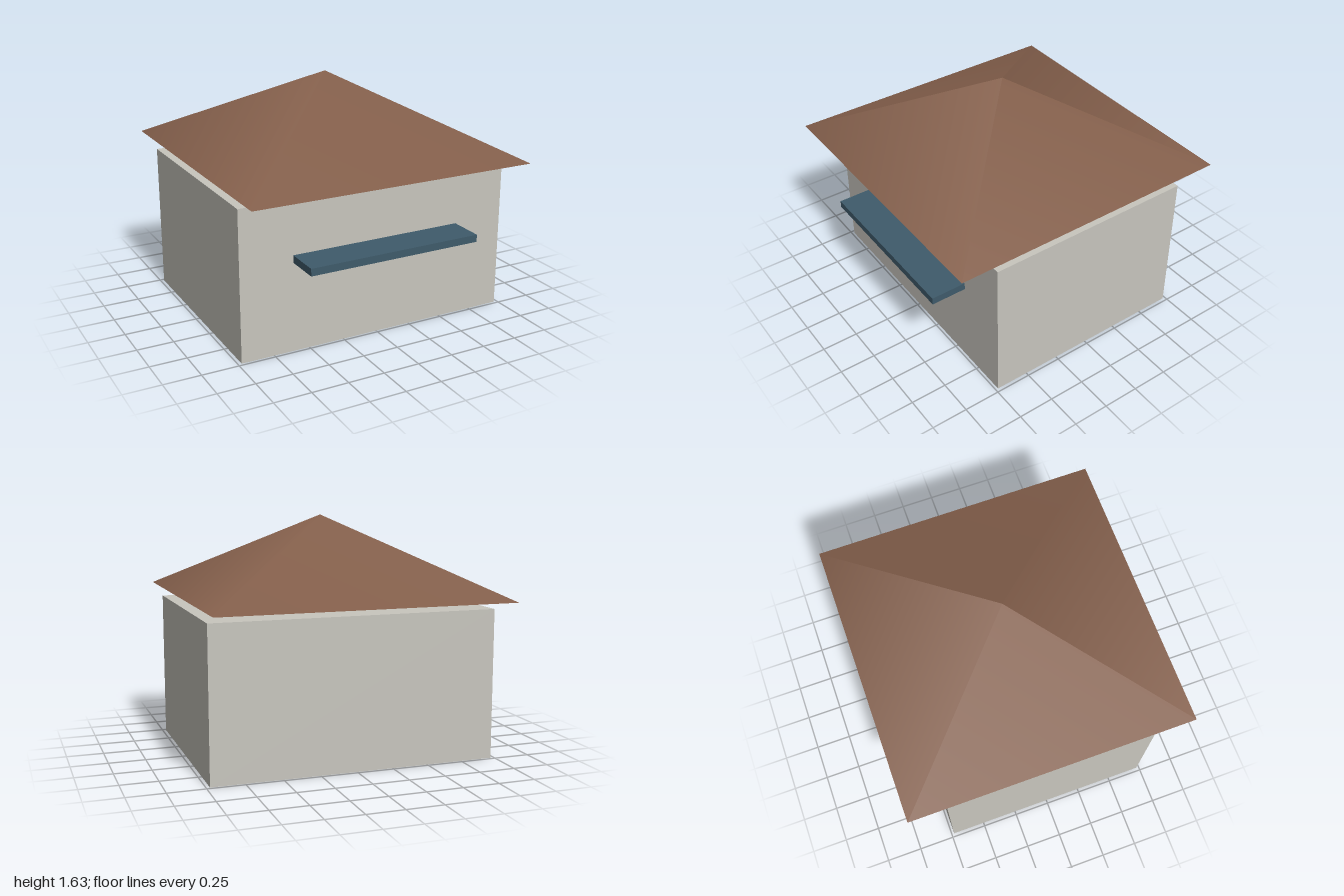
import * as THREE from 'three';

function addPart(group, name, geometry, color, x, y, z) {
  const mesh = new THREE.Mesh(geometry, new THREE.MeshStandardMaterial({ color }));
  mesh.name = name;
  mesh.position.set(x, y, z);
  group.add(mesh);
  return mesh;
}

export function createModel() {
  const house = new THREE.Group();
  house.name = 'house';

  // Plain block of walls
  addPart(house, 'walls', new THREE.BoxGeometry(1.951, 1.024, 1.463), 0xc8c6be, 0, 0.512, 0);

  // Four-sided roof with softly shaded slopes, floating just above the walls
  const roofGeometry = new THREE.ConeGeometry(Math.SQRT2, 0.537, 4);
  roofGeometry.rotateY(Math.PI / 4);
  addPart(house, 'roof', roofGeometry, 0x85604c, 0, 1.366, 0);

  // Flat awning on the front wall
  addPart(house, 'awning', new THREE.BoxGeometry(1.22, 0.05, 0.244), 0x3f5b6b, 0, 0.635, 0.854);

  return house;
}
